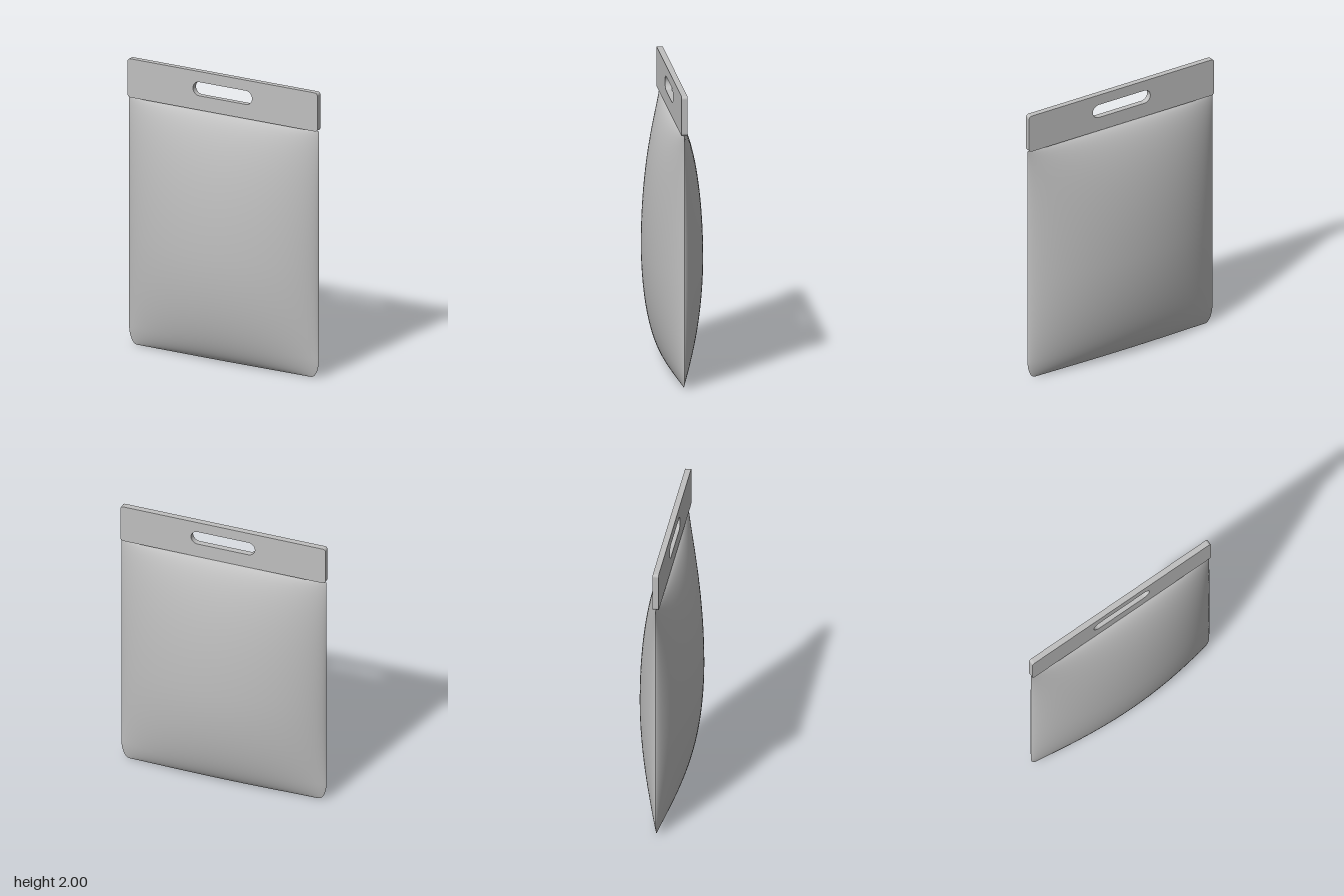
import * as THREE from 'three';

const W = 0.73;        // half width
const BAG_TOP = 1.728; // top seam of the pouch
const BELLY = 0.78;    // height of the thickest point
const DEPTH = 0.195;   // half thickness at the belly

// Adds a rounded rectangle outline to a Shape or Path
function roundedRect(path, x0, y0, x1, y1, r) {
  path.moveTo(x0 + r, y0);
  path.lineTo(x1 - r, y0);
  path.absarc(x1 - r, y0 + r, r, -Math.PI / 2, 0);
  path.lineTo(x1, y1 - r);
  path.absarc(x1 - r, y1 - r, r, 0, Math.PI / 2);
  path.lineTo(x0 + r, y1);
  path.absarc(x0 + r, y1 - r, r, Math.PI / 2, Math.PI);
  path.lineTo(x0, y0 + r);
  path.absarc(x0 + r, y0 + r, r, Math.PI, Math.PI * 1.5);
  return path;
}

// One bulging panel, flat at its seams, with rounded bottom corners
function panelGeometry() {
  const geo = new THREE.PlaneGeometry(2, 2, 64, 80);
  const pos = geo.attributes.position;
  for (let i = 0; i < pos.count; i++) {
    // Sine spacing packs the rows and columns towards the seams
    const u = Math.sin(pos.getX(i) * Math.PI / 2);
    const t = Math.sin(pos.getY(i) * Math.PI / 2);
    const y = (t + 1) / 2 * BAG_TOP;
    const v = y > BELLY ? (y - BELLY) / (BAG_TOP - BELLY) : (BELLY - y) / BELLY;
    const corner = Math.max(0, 1 - y / 0.13);
    const halfWidth = W - 0.06 * (1 - Math.sqrt(1 - corner * corner));
    const bulge = Math.pow(Math.max(0, 1 - u * u), 0.7) * Math.pow(Math.max(0, 1 - v * v), 0.55);
    pos.setXYZ(i, u * halfWidth, y, DEPTH * bulge);
  }
  geo.computeVertexNormals();
  return geo;
}

export function createModel() {
  const group = new THREE.Group();
  const grey = new THREE.MeshStandardMaterial({ color: 0xc0c0c0 });
  grey.name = 'light grey';

  // Pouch: the same panel front and back
  const panel = panelGeometry();
  ['frontPanel', 'backPanel'].forEach((name, i) => {
    const mesh = new THREE.Mesh(panel, grey);
    mesh.name = name;
    mesh.rotation.y = i * Math.PI;
    group.add(mesh);
  });

  // Stiff handle strip with a slot for the hand
  const strip = roundedRect(new THREE.Shape(), -W, 1.73, W, 2, 0.02);
  strip.holes.push(roundedRect(new THREE.Path(), -0.227, 1.83, 0.227, 1.926, 0.0479));
  const handleGeo = new THREE.ExtrudeGeometry(strip, { depth: 0.04, bevelEnabled: false, curveSegments: 12 });
  handleGeo.translate(0, 0, -0.02);
  const handle = new THREE.Mesh(handleGeo, grey);
  handle.name = 'handleStrip';
  group.add(handle);

  return group;
}
